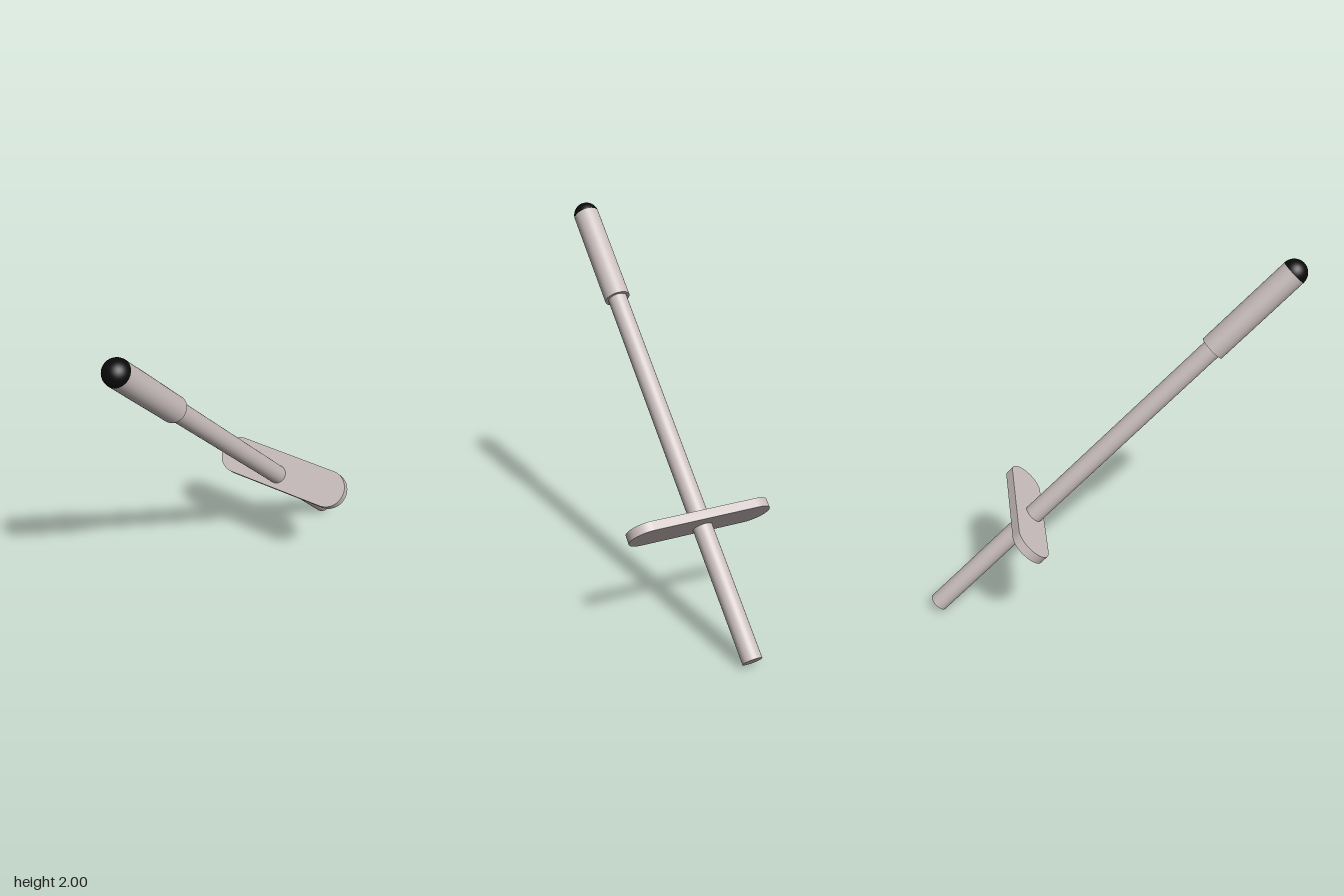
import * as THREE from 'three';

export function createModel() {
  const model = new THREE.Group();
  const paleGrey = new THREE.MeshStandardMaterial({ name: 'pale grey', color: 0xcbbfbf });
  const black = new THREE.MeshStandardMaterial({ name: 'black', color: 0x0a0a0a });

  // Everything is built upright along y, then the whole tool leans forward 45 degrees
  const tool = new THREE.Group();
  tool.name = 'leaningTool';
  tool.position.y = 1;
  tool.rotation.x = Math.PI / 4;
  model.add(tool);

  const add = (name, geometry, material, x, y, z) => {
    const mesh = new THREE.Mesh(geometry, material);
    mesh.name = name;
    mesh.position.set(x, y, z);
    tool.add(mesh);
  };
  const rod = (name, radius, bottom, top) =>
    add(name, new THREE.CylinderGeometry(radius, radius, top - bottom, 40), paleGrey, axisX, (bottom + top) / 2, 0);

  const axisX = -0.02;
  const gripRadius = 0.07, gripBottom = 0.755, gripTop = 1.315;

  // Shaft and thicker grip
  rod('shaft', 0.0525, -1.361, gripBottom + 0.02);
  rod('grip', gripRadius, gripBottom, gripTop);

  // Domed end of the grip
  add('endCap', new THREE.SphereGeometry(gripRadius, 40, 16, 0, Math.PI * 2, 0, Math.PI / 2),
    black, axisX, gripTop, 0);

  // Crosswise plate with fully rounded ends
  const r = 0.106, half = 0.405 - r, thickness = 0.05;
  const outline = new THREE.Shape();
  outline.absarc(half, 0, r, -Math.PI / 2, Math.PI / 2);
  outline.absarc(-half, 0, r, Math.PI / 2, Math.PI * 1.5);
  outline.closePath();
  const plate = new THREE.ExtrudeGeometry(outline, { depth: thickness, bevelEnabled: false, curveSegments: 24 });
  plate.translate(0, 0, -thickness / 2).rotateX(Math.PI / 2);
  add('crossPlate', plate, paleGrey, 0, -0.608, -0.025);

  return model;
}
